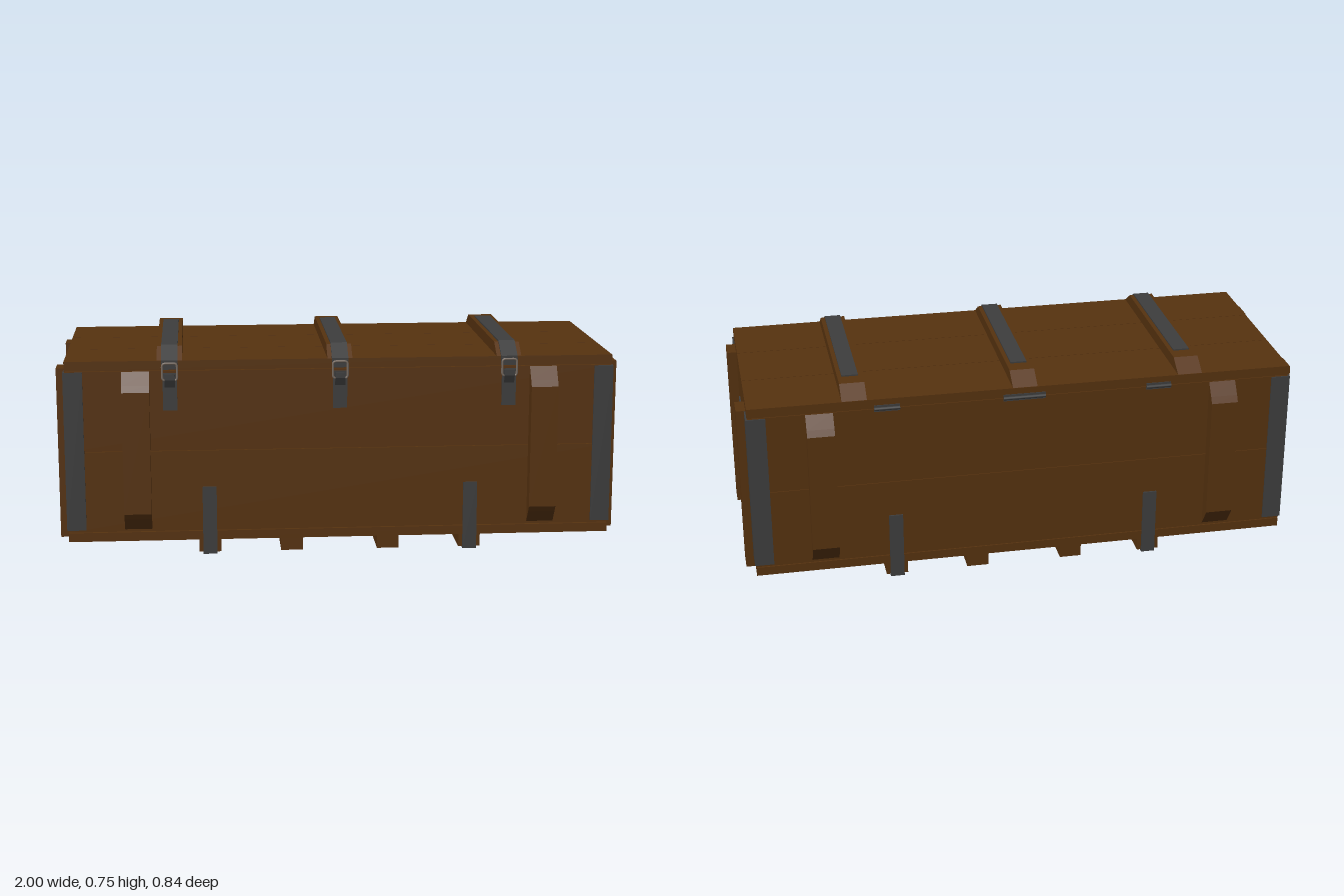
import * as THREE from 'three';

const std = (name, color) => {
  const m = new THREE.MeshStandardMaterial({ color });
  m.name = name;
  return m;
};

export function createModel() {
  const wood = std('brown wood', 0x56320f);
  const metal = std('dark metal', 0x3d3d3d);
  const steel = std('worn steel', 0x75695f);
  const root = new THREE.Group();

  const add = (name, geo, mat, parent = root) => {
    const m = new THREE.Mesh(geo, mat);
    m.name = name;
    parent.add(m);
    return m;
  };
  // Box given by its limits on each axis
  const box = (name, mat, x0, x1, y0, y1, z0, z1, parent = root) =>
    add(name, new THREE.BoxGeometry(x1 - x0, y1 - y0, z1 - z0)
      .translate((x0 + x1) / 2, (y0 + y1) / 2, (z0 + z1) / 2), mat, parent);
  // Profile of [z, y] points, extruded to a width along x
  const profile = (name, mat, pts, x, width, parent = root) => {
    const shape = new THREE.Shape(pts.map(([z, y]) => new THREE.Vector2(z, y)));
    const geo = new THREE.ExtrudeGeometry(shape, { depth: width, bevelEnabled: false });
    geo.translate(0, 0, -width / 2).rotateY(-Math.PI / 2).translate(x, 0, 0);
    return add(name, geo, mat, parent);
  };
  // Closed wire with rounded corners in the XY plane, centred on the origin
  const wireLoop = (w, h, corner, r) => {
    const a = w / 2, b = h / 2, c = corner;
    const s = new THREE.Shape();
    s.moveTo(-a + c, -b).lineTo(a - c, -b).quadraticCurveTo(a, -b, a, -b + c);
    s.lineTo(a, b - c).quadraticCurveTo(a, b, a - c, b);
    s.lineTo(-a + c, b).quadraticCurveTo(-a, b, -a, b - c);
    s.lineTo(-a, -b + c).quadraticCurveTo(-a, -b, -a + c, -b);
    const pts = s.getSpacedPoints(40).slice(0, -1).map(p => new THREE.Vector3(p.x, p.y, 0));
    return new THREE.TubeGeometry(new THREE.CatmullRomCurve3(pts, true), 80, r, 8, true);
  };

  // Lid and floor, three boards each
  for (const [z0, z1] of [[-0.372, -0.126], [-0.124, 0.124], [0.126, 0.372]]) {
    box('lidBoard', wood, -0.967, 0.967, 0.672, 0.706, z0, z1);
    box('floorBoard', wood, -0.967, 0.967, 0.056, 0.088, z0, z1);
  }

  // Walls, two boards high
  for (const [y0, y1] of [[0.091, 0.382], [0.384, 0.67]]) {
    for (const s of [-1, 1]) {
      const side = box('sideBoard', wood, -0.966, 0.966, y0, y1, -0.015, 0.015);
      side.position.z = s * 0.357;
      const end = box('endBoard', wood, -0.015, 0.015, y0, y1, -0.342, 0.342);
      end.position.x = s * 0.951;
    }
  }

  for (const sx of [-1, 1]) {
    for (const sz of [-1, 1]) {
      // Upright batten on the end
      const zb = sz * 0.26;
      const xb = sx * 0.983;
      box('endBatten', wood, xb - 0.017, xb + 0.017, 0.056, 0.67, zb - 0.04, zb + 0.04);

      // Angled corner plate
      const xc = sx * 0.938, zc = sz * 0.339;
      box('cornerPlateSide', metal, xc - 0.034, xc + 0.034, 0.099, 0.668,
        sz * 0.374 - 0.003, sz * 0.374 + 0.003);
      box('cornerPlateEnd', metal, sx * 0.969 - 0.003, sx * 0.969 + 0.003, 0.099, 0.668,
        zc - 0.038, zc + 0.038);

      // Cleat with chamfered ends on the long side
      profile('sideCleat', wood, [[0.371, 0.098], [0.404, 0.144], [0.418, 0.165],
        [0.418, 0.602], [0.404, 0.624], [0.371, 0.67]].map(([z, y]) => [sz * z, y]),
      sx * 0.72, 0.096);
    }
  }

  // Skids, the outer two wrapped by a metal strap
  for (const x of [-0.467, -0.175, 0.17, 0.465]) {
    box('skid', wood, x - 0.039, x + 0.039, 0.01, 0.056, -0.37, 0.37);
    if (Math.abs(x) < 0.3) continue;
    profile('skidStrap', metal, [[-0.378, 0.25], [-0.378, 0.004], [0.378, 0.004], [0.378, 0.25],
      [0.371, 0.25], [0.371, 0.011], [-0.371, 0.011], [-0.371, 0.25]], x, 0.05);
  }

  // Lid battens, straps and latches
  for (const x of [-0.6, -0.003, 0.597]) {
    profile('lidBatten', wood, [[-0.37, 0.706], [0.37, 0.706], [0.308, 0.747], [-0.308, 0.747]],
      x, 0.088);
    profile('lidStrap', metal, [[-0.25, 0.746], [0.307, 0.746], [0.371, 0.704], [0.371, 0.675],
      [0.378, 0.675], [0.378, 0.708], [0.309, 0.752], [-0.25, 0.752]], x, 0.058);

    const latch = new THREE.Group();
    latch.name = 'latch';
    latch.position.x = x;
    root.add(latch);
    box('latchPlate', metal, -0.025, 0.025, 0.53, 0.662, 0.371, 0.379, latch);
    profile('latchHook', metal, [[0.378, 0.61], [0.393, 0.64], [0.393, 0.66], [0.386, 0.66],
      [0.386, 0.645], [0.378, 0.645]], 0, 0.036, latch);
    box('latchCatch', metal, -0.029, 0.029, 0.684, 0.702, 0.377, 0.384, latch);
    add('latchWire', wireLoop(0.052, 0.06, 0.012, 0.004), steel, latch).position.set(0, 0.668, 0.386);
  }

  // Hinges along the back
  for (const [x, w] of [[-0.485, 0.09], [0, 0.15], [0.485, 0.09]]) {
    add('hingePin', new THREE.CylinderGeometry(0.006, 0.006, w, 12).rotateZ(Math.PI / 2), metal)
      .position.set(x, 0.671, -0.376);
    box('hingeLeaf', metal, x - w / 2, x + w / 2, 0.66, 0.684, -0.375, -0.371);
  }

  // Carrying handle on each end
  for (const s of [-1, 1]) {
    const handle = new THREE.Group();
    handle.name = 'handle';
    handle.position.set(s * 0.966, 0, 0);
    handle.rotation.y = s * Math.PI / 2;
    root.add(handle);
    box('handlePlate', metal, -0.123, 0.123, 0.396, 0.536, -0.002, 0.005, handle);
    box('handleHinge', metal, -0.055, 0.055, 0.455, 0.476, 0.004, 0.018, handle);
    add('handleWire', wireLoop(0.148, 0.076, 0.022, 0.005), steel, handle).position.set(0, 0.431, 0.013);
    for (const x of [-0.093, 0.093]) {
      for (const y of [0.423, 0.514]) {
        add('rivet', new THREE.CylinderGeometry(0.007, 0.01, 0.006, 12).rotateX(Math.PI / 2), steel, handle)
          .position.set(x, y, 0.007);
      }
    }
  }

  return root;
}
